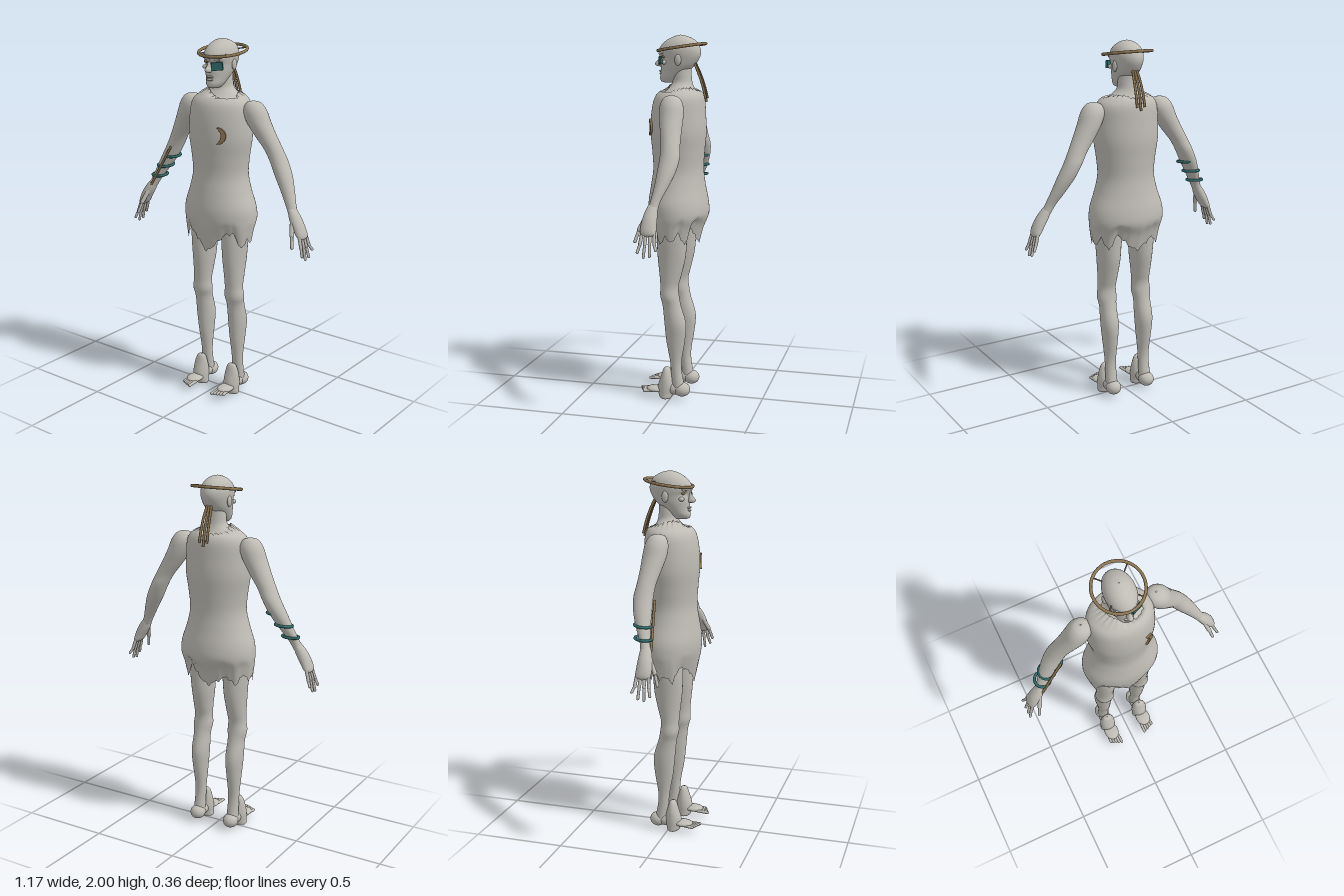
import * as THREE from 'three';

const V = (x, y, z) => new THREE.Vector3(x, y, z);

// Smooth body from horizontal sections, top to bottom: [y, centreX, radiusX, centreZ, radiusZ]
function loft(sections, rows = 32, cols = 32, warp) {
  const centre = new THREE.CatmullRomCurve3(sections.map(s => V(s[1], s[0], s[3])), false, 'catmullrom');
  const radius = new THREE.CatmullRomCurve3(sections.map(s => V(s[2], s[4], 0)), false, 'catmullrom');
  const pos = [], idx = [];
  for (let i = 0; i <= rows; i++) {
    const t = i / rows, c = centre.getPoint(t), r = radius.getPoint(t);
    for (let j = 0; j < cols; j++) {
      const a = j / cols * Math.PI * 2;
      const p = V(c.x + r.x * Math.sin(a), c.y, c.z + r.y * Math.cos(a));
      if (warp) warp(p, a, t);
      pos.push(p.x, p.y, p.z);
      if (i < rows) {
        const k = (j + 1) % cols, u = i * cols, d = u + cols;
        idx.push(u + j, d + j, u + k, d + j, d + k, u + k);
      }
    }
  }
  const g = new THREE.BufferGeometry();
  g.setAttribute('position', new THREE.Float32BufferAttribute(pos, 3));
  g.setIndex(idx);
  g.computeVertexNormals();
  return g;
}

// Value at angle a from a list spread evenly around the body
function around(list, a) {
  const f = a / (Math.PI * 2) * list.length, i = Math.floor(f);
  return THREE.MathUtils.lerp(list[i % list.length], list[(i + 1) % list.length], f - i);
}

export function createModel() {
  const model = new THREE.Group();
  const mat = (name, color, side = THREE.FrontSide) => {
    const m = new THREE.MeshStandardMaterial({ color, side });
    m.name = name;
    return m;
  };
  const grey = mat('paleGrey', 0xbfbcb5, THREE.DoubleSide);
  const bronze = mat('bronze', 0x8a7350);
  const teal = mat('teal', 0x2f6b6b);

  const add = (name, geo, material = grey, parent = model) => {
    const m = new THREE.Mesh(geo, material);
    m.name = name;
    parent.add(m);
    return m;
  };
  const ball = (name, x, y, z, rx, ry, rz, material = grey) => {
    const m = add(name, new THREE.SphereGeometry(1, 24, 16), material);
    m.position.set(x, y, z);
    m.scale.set(rx, ry, rz);
    return m;
  };
  const rod = (name, a, b, r, material = grey, parent = model) => {
    const d = b.clone().sub(a);
    const m = add(name, new THREE.CapsuleGeometry(r, d.length(), 4, 10), material, parent);
    m.position.copy(a).add(b).multiplyScalar(0.5);
    m.quaternion.setFromUnitVectors(V(0, 1, 0), d.normalize());
    return m;
  };

  // Tunic with torn collar and hem
  const hem = [0.85, 0.9, 0.96, 0.97, 0.88, 0.93, 0.9, 0.95, 0.88, 0.97, 0.91, 0.87,
    0.9, 0.93, 0.88, 0.94, 0.9, 0.92, 0.88, 0.96, 0.95, 0.91];
  const collar = [1.705, 1.685, 1.68, 1.715, 1.72, 1.72, 1.7, 1.705, 1.72, 1.735, 1.74, 1.735];
  add('tunic', loft([
    [1.72, 0.01, 0.085, -0.03, 0.08], [1.70, 0, 0.14, -0.025, 0.112], [1.66, 0, 0.172, -0.02, 0.135],
    [1.58, 0, 0.181, -0.015, 0.146], [1.48, 0, 0.183, -0.015, 0.15], [1.38, 0, 0.168, -0.015, 0.142],
    [1.28, 0, 0.16, -0.015, 0.137], [1.19, 0, 0.18, -0.014, 0.148], [1.10, 0, 0.211, -0.016, 0.162],
    [1.03, 0, 0.217, -0.018, 0.162], [0.97, 0, 0.21, -0.01, 0.142], [0.90, 0, 0.2, -0.008, 0.122],
  ], 60, 110, (p, a, t) => {
    const fray = 0.006 * Math.sin(a * 23) + 0.004 * Math.sin(a * 41);
    p.y += (around(hem, a) + fray - 0.9) * THREE.MathUtils.clamp((t - 0.8) / 0.2, 0, 1);
    p.y += (around(collar, a) + fray * 0.7 - 1.72) * THREE.MathUtils.clamp(1 - t / 0.09, 0, 1);
  }));

  // Neck and upper chest
  add('neck', loft([
    [1.84, 0, 0.05, -0.035, 0.05], [1.79, 0, 0.054, -0.035, 0.05], [1.745, 0, 0.062, -0.035, 0.055],
    [1.71, 0, 0.1, -0.03, 0.075], [1.675, 0, 0.145, -0.025, 0.11], [1.6, 0, 0.15, -0.02, 0.12],
  ]));

  // Head with sunken eye sockets
  const headRow = (y, rx, front, back) => [y, 0, rx, (front + back) / 2, (front - back) / 2];
  add('head', loft([
    headRow(2.0, 0.002, -0.022, -0.026), headRow(1.99, 0.037, 0.015, -0.07), headRow(1.965, 0.065, 0.06, -0.113),
    headRow(1.93, 0.079, 0.09, -0.133), headRow(1.90, 0.079, 0.094, -0.136), headRow(1.87, 0.074, 0.083, -0.125),
    headRow(1.835, 0.068, 0.083, -0.1), headRow(1.80, 0.057, 0.083, -0.06), headRow(1.77, 0.045, 0.088, -0.025),
    headRow(1.75, 0.028, 0.078, 0.0), headRow(1.745, 0.002, 0.045, 0.04),
  ], 48, 48, p => {
    if (p.z > 0) p.z -= 0.018 * Math.exp(-((Math.abs(p.x) - 0.037) ** 2 + (p.y - 1.882) ** 2) / 0.0003);
  }));
  add('nose', loft([
    [1.895, 0, 0.007, 0.083, 0.007], [1.87, 0, 0.009, 0.087, 0.012], [1.848, 0, 0.015, 0.094, 0.024],
    [1.836, 0, 0.014, 0.09, 0.02], [1.832, 0, 0.002, 0.088, 0.004],
  ], 16, 16));
  ball('upperLip', 0, 1.808, 0.082, 0.024, 0.006, 0.011);
  ball('lowerLip', 0, 1.794, 0.081, 0.02, 0.007, 0.011);
  for (const s of [-1, 1]) {
    rod('brow', V(s * 0.014, 1.902, 0.088), V(s * 0.055, 1.908, 0.062), 0.007);
    ball('cheekbone', s * 0.05, 1.855, 0.053, 0.017, 0.012, 0.015);
    ball('ear', s * 0.077, 1.868, -0.03, 0.01, 0.03, 0.018);
    ball('eye', s * 0.04, 1.885, 0.059, 0.014, 0.009, 0.009, bronze);
  }
  const patch = add('eyePatch', new THREE.BoxGeometry(0.06, 0.042, 0.012), teal);
  patch.position.set(0.044, 1.866, 0.075);
  patch.rotation.set(0, 0.4, 0.08);

  // Tilted halo ring with spokes
  const halo = new THREE.Group();
  halo.name = 'halo';
  halo.position.set(0, 1.935, -0.032);
  halo.rotation.x = 0.15;
  model.add(halo);
  add('haloRing', new THREE.TorusGeometry(0.13, 0.008, 12, 64).rotateX(Math.PI / 2), bronze, halo);
  for (let i = 0; i < 4; i++) {
    const a = Math.PI / 4 + i * Math.PI / 2, c = Math.cos(a), s = Math.sin(a);
    rod('haloSpoke', V(c * 0.07, 0, s * 0.07), V(c * 0.13, 0, s * 0.13), 0.0035, bronze, halo);
  }

  // Hanging braids
  for (const x of [-0.018, 0, 0.018]) {
    const path = new THREE.CatmullRomCurve3([V(x * 0.7, 1.85, -0.105), V(x, 1.8, -0.128),
      V(x * 1.2, 1.73, -0.153), V(x * 1.3, 1.645 + Math.abs(x), -0.17)]);
    add('braid', new THREE.TubeGeometry(path, 24, 0.007, 8), bronze);
  }

  // Crescent chest ornament
  const moon = new THREE.Shape();
  moon.absarc(0, 0, 0.042, -Math.PI / 2, Math.PI / 2, false);
  moon.quadraticCurveTo(0.04, 0, 0, -0.042);
  const brooch = add('chestCrescent', new THREE.ExtrudeGeometry(moon,
    { depth: 0.016, bevelSize: 0.003, bevelThickness: 0.003, bevelSegments: 2, curveSegments: 24 }), bronze);
  brooch.position.set(0.078, 1.51, 0.112);
  brooch.rotation.y = 0.45;

  for (const s of [-1, 1]) {
    // Arm from rounded shoulder to wrist
    add('arm', loft([
      [1.69, s * 0.205, 0.003, -0.03, 0.003], [1.678, s * 0.207, 0.04, -0.03, 0.038],
      [1.64, s * 0.213, 0.064, -0.032, 0.06], [1.58, s * 0.235, 0.066, -0.036, 0.064],
      [1.51, s * 0.275, 0.06, -0.045, 0.056], [1.44, s * 0.32, 0.051, -0.055, 0.05],
      [1.38, s * 0.352, 0.048, -0.06, 0.052], [1.31, s * 0.388, 0.047, -0.052, 0.048],
      [1.24, s * 0.425, 0.039, -0.036, 0.037], [1.17, s * 0.462, 0.03, -0.015, 0.026],
      [1.12, s * 0.487, 0.026, -0.005, 0.026],
    ], 48, 28));

    // Flat palm, fingers and thumb
    add('palm', loft([
      [1.165, s * 0.475, 0.003, -0.008, 0.003], [1.15, s * 0.478, 0.022, -0.006, 0.024],
      [1.10, s * 0.505, 0.034, 0.0, 0.036], [1.05, s * 0.532, 0.03, 0.002, 0.041],
      [1.015, s * 0.548, 0.021, 0.0, 0.039], [1.0, s * 0.553, 0.002, 0.0, 0.01],
    ], 24, 24));
    for (let i = 0; i < 4; i++) {
      const z = 0.03 - i * 0.02, tip = [0.925, 0.902, 0.908, 0.94][i];
      const knuckle = V(s * 0.565, 0.965, z * 1.25);
      rod('finger', V(s * 0.545, 1.03, z), knuckle, 0.009);
      rod('fingertip', knuckle, V(s * 0.579, tip, z * 1.6), 0.0075);
    }
    rod('thumb', V(s * 0.495, 1.1, 0.02), V(s * 0.517, 1.03, 0.055), 0.012);
    rod('thumbTip', V(s * 0.517, 1.03, 0.055), V(s * 0.532, 0.97, 0.074), 0.0085);

    // Leg with knee and calf
    add('leg', loft([
      [1.02, s * 0.1, 0.078, -0.01, 0.085], [0.9, s * 0.105, 0.069, -0.005, 0.083],
      [0.8, s * 0.105, 0.062, -0.003, 0.077], [0.7, s * 0.108, 0.054, 0.003, 0.06],
      [0.64, s * 0.11, 0.051, 0.008, 0.05], [0.585, s * 0.112, 0.056, 0.006, 0.052],
      [0.53, s * 0.112, 0.048, -0.006, 0.051], [0.43, s * 0.112, 0.049, -0.025, 0.06],
      [0.33, s * 0.111, 0.041, -0.027, 0.052], [0.22, s * 0.11, 0.033, -0.028, 0.033],
      [0.15, s * 0.11, 0.032, -0.032, 0.03], [0.06, s * 0.11, 0.034, -0.045, 0.034],
    ], 56, 28));

    // Foot: heel, tall instep and splayed toes
    ball('heel', s * 0.11, 0.052, -0.063, 0.043, 0.04, 0.046);
    add('instep', loft([
      [0.177, s * 0.11, 0.003, 0.025, 0.003], [0.165, s * 0.11, 0.026, 0.024, 0.018],
      [0.12, s * 0.111, 0.041, 0.025, 0.032], [0.07, s * 0.111, 0.046, 0.027, 0.045],
      [0.03, s * 0.111, 0.046, 0.03, 0.042], [0.0, s * 0.111, 0.043, 0.028, 0.03], [0.0, s * 0.111, 0.001, 0.028, 0.001],
    ], 30, 24));
    ball('footArch', s * 0.11, 0.055, -0.02, 0.036, 0.035, 0.05);
    ball('forefoot', s * 0.111, 0.045, 0.085, 0.044, 0.018, 0.055);
    for (let i = 0; i < 5; i++) {
      const k = i - 2;
      rod('toe', V(s * (0.111 + k * 0.014), 0.04, 0.09), V(s * (0.111 + k * 0.0155), 0.036, 0.174 - i * 0.007), 0.0085);
    }
  }

  // Rings and splint on the right forearm
  for (const [x, y, z, r] of [[-0.368, 1.31, -0.05, 0.042], [-0.415, 1.25, -0.04, 0.045], [-0.45, 1.19, -0.028, 0.043]]) {
    const ring = add('armRing', new THREE.TorusGeometry(r, 0.0075, 10, 40).rotateX(Math.PI / 2), teal);
    ring.position.set(x, y, z);
    ring.rotation.set(0.1, 0, 0.04);
  }
  rod('forearmSplint', V(-0.347, 1.365, 0.0), V(-0.475, 1.135, 0.022), 0.007, bronze);

  return model;
}
